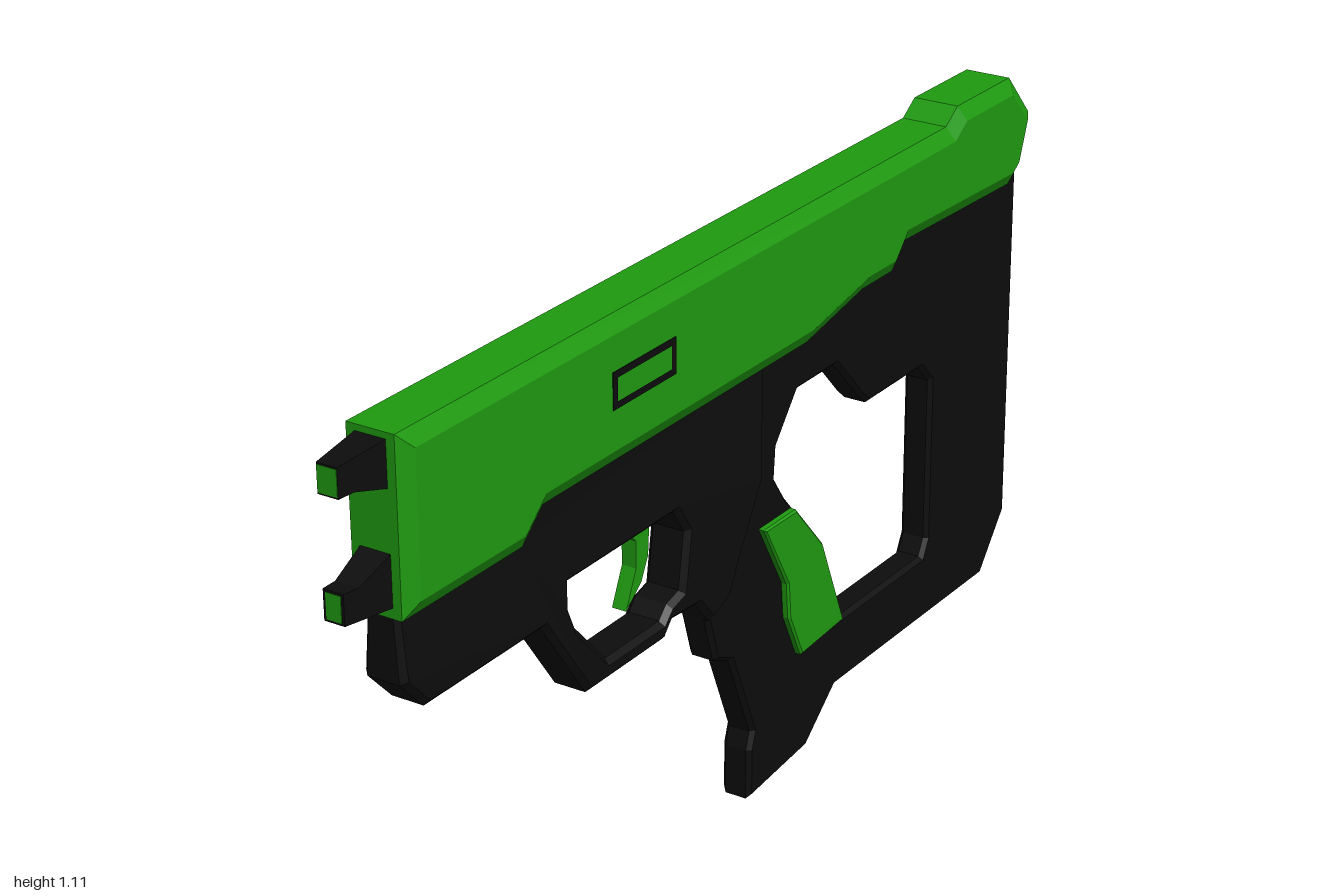
import * as THREE from 'three';

const green = new THREE.MeshStandardMaterial({ color: 0x1f9a10, flatShading: true });
const black = new THREE.MeshStandardMaterial({ color: 0x0d0d0d, flatShading: true });

function outline(points, Type = THREE.Shape) {
  return new Type(points.map(([z, y]) => new THREE.Vector2(z, y)));
}

// Extrudes a [z, y] side profile symmetrically about x = 0, with chamfered rims
function slab(name, points, half, material, { holes = [], bevel = 0, chamfer = bevel } = {}) {
  const shape = outline(points);
  shape.holes = holes.map((h) => outline(h, THREE.Path));
  const geo = new THREE.ExtrudeGeometry(shape, {
    depth: 2 * (half - chamfer),
    bevelEnabled: bevel > 0,
    bevelSize: bevel,
    bevelOffset: -bevel,
    bevelThickness: chamfer,
    bevelSegments: 1,
  });
  geo.translate(0, 0, chamfer - half);
  geo.rotateY(-Math.PI / 2);
  const mesh = new THREE.Mesh(geo, material);
  mesh.name = name;
  return mesh;
}

function box(name, size, pos, material) {
  const mesh = new THREE.Mesh(new THREE.BoxGeometry(...size), material);
  mesh.position.set(...pos);
  mesh.name = name;
  return mesh;
}

// Scales x of every vertex by a rule of its position
function taper(mesh, rule) {
  const p = mesh.geometry.attributes.position;
  for (let i = 0; i < p.count; i++) p.setX(i, p.getX(i) * rule(p.getY(i), p.getZ(i)));
  mesh.geometry.computeVertexNormals();
  return mesh;
}

export function createModel() {
  const model = new THREE.Group();
  model.name = 'blaster';

  // Upper housing with raised rear cap
  model.add(slab('upperHousing', [
    [0.9, 0.78], [0.6, 0.78], [0.545, 0.83], [-0.225, 0.83], [-0.41, 0.866], [-0.51, 0.866],
    [-0.55, 0.91], [-0.93, 0.9], [-0.965, 0.925], [-1, 1.02], [-0.92, 1.107], [-0.73, 1.107],
    [-0.69, 1.08], [0.9, 1.08],
  ], 0.06, green, { bevel: 0.027, chamfer: 0.016 }));

  // Frame: grip, stock and trigger guard in one plate with two openings
  const triggerHole = [
    [0.47, 0.663], [0.166, 0.663], [0.134, 0.615], [0.15, 0.513], [0.187, 0.503],
    [0.209, 0.481], [0.364, 0.481], [0.449, 0.572], [0.47, 0.62],
  ];
  const stockHole = [
    [-0.225, 0.738], [-0.353, 0.738], [-0.44, 0.647], [-0.465, 0.626], [-0.652, 0.626],
    [-0.69, 0.588], [-0.69, 0.267], [-0.674, 0.235], [-0.385, 0.235], [-0.342, 0.353],
    [-0.289, 0.438], [-0.193, 0.545], [-0.155, 0.6], [-0.16, 0.658],
  ];
  const guardEdge = [
    [0.895, 0.668], [0.84, 0.61], [0.54, 0.61], [0.422, 0.444], [0.203, 0.444],
    [0.18, 0.47], [0.1, 0.465], [0.06, 0.417],
  ];
  const underside = [
    [-0.075, 0.003], [-0.267, 0.021], [-0.364, 0.102], [-0.909, 0.102], [-0.995, 0.209],
  ];
  model.add(slab('frame', [
    [0.895, 0.79], ...guardEdge, [0.032, 0.326], [-0.016, 0.305], [-0.086, 0.134], [-0.075, 0.1],
    ...underside, [-0.99, 0.97], [-0.9, 1], [-0.5, 0.95], [0.5, 0.88], [0.55, 0.8],
  ], 0.029, black, { holes: [triggerHole, stockHole], bevel: 0.008 }));

  // Thicker shell over the fore-end and trigger guard, narrowing toward the housing
  const shell = slab('foreEndShell', [
    [0.895, 0.785], ...guardEdge, [0, 0.44], [-0.03, 0.5], [-0.1, 0.62], [-0.12, 0.84],
    [0.54, 0.84], [0.6, 0.785],
  ], 0.04, black, { holes: [triggerHole], bevel: 0.01 });
  model.add(taper(shell, (y) => (y > 0.75 ? 0.75 : 1)));

  // Grip panel showing on both sides
  model.add(slab('gripPanel', [
    [-0.1, 0.524], [-0.203, 0.524], [-0.294, 0.422], [-0.369, 0.24], [-0.225, 0.23],
    [-0.182, 0.32], [-0.176, 0.39],
  ], 0.043, green, { bevel: 0.004 }));

  // Curved trigger
  model.add(slab('trigger', [
    [0.278, 0.67], [0.21, 0.67], [0.215, 0.6], [0.235, 0.56], [0.28, 0.524], [0.266, 0.555],
    [0.25, 0.59], [0.25, 0.64],
  ], 0.014, green));

  // Inlaid strips along the underside
  for (let i = 0; i < underside.length - 1; i++) {
    const [z0, y0] = underside[i];
    const [z1, y1] = underside[i + 1];
    const length = Math.hypot(z1 - z0, y1 - y0) - 0.02;
    const strip = box('undersideStrip', [0.034, 0.005, length], [0, (y0 + y1) / 2, (z0 + z1) / 2], green);
    strip.rotation.x = Math.atan2(y1 - y0, z0 - z1);
    model.add(strip);
  }

  // Window rims on both sides
  const rim = [[0.376, 0.928], [0.2, 0.928], [0.2, 0.992], [0.376, 0.992]];
  const pane = [[0.364, 0.94], [0.212, 0.94], [0.212, 0.98], [0.364, 0.98]];
  model.add(slab('windowRim', rim, 0.0615, black, { holes: [pane] }));

  // Two tapering muzzle prongs with coloured tips
  const prongs = [
    { profile: [[1, 1.06], [0.89, 1.07], [0.89, 0.988], [0.968, 1.01], [1, 1.01]], y: 1.035, w: 0.036 },
    { profile: [[1, 0.86], [0.968, 0.858], [0.89, 0.89], [0.89, 0.797], [1, 0.808]], y: 0.834, w: 0.028 },
  ];
  for (const { profile, y, w } of prongs) {
    const prong = slab('muzzleProng', profile, 0.029, black);
    model.add(taper(prong, (_, z) => 1 - 0.35 * (z - 0.89) / 0.11));
    model.add(box('prongTip', [w, 0.044, 0.004], [0, y, 0.999], green));
  }
  return model;
}
